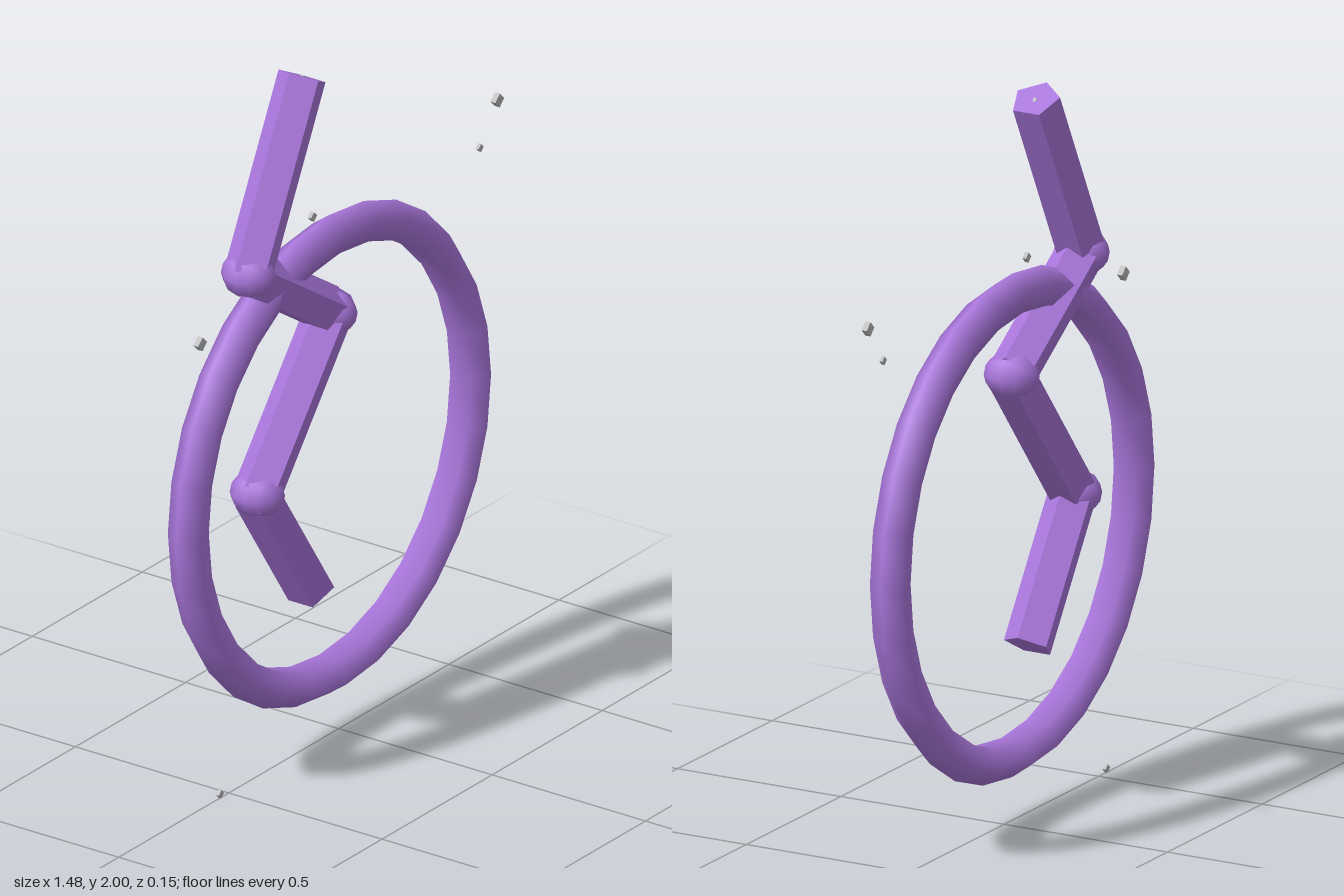
import * as THREE from 'three';

export function createModel() {
  const group = new THREE.Group();
  const purple = new THREE.MeshStandardMaterial({ color: 0xaa77dd });
  purple.name = 'purple';
  const gray = new THREE.MeshStandardMaterial({ color: 0xb8b8b8 });
  gray.name = 'gray';

  const add = (name, geometry, material, x, y) => {
    const mesh = new THREE.Mesh(geometry, material);
    mesh.name = name;
    mesh.position.set(x, y, 0);
    group.add(mesh);
    return mesh;
  };
  const faceted = (geometry) => {
    const g = geometry.toNonIndexed();
    g.computeVertexNormals();
    return g;
  };

  // Ring with a five-sided section
  add('ring', new THREE.TorusGeometry(0.641, 0.057, 5, 28), purple, -0.0425, 0.8175);

  // Zigzag of five-sided rods, each with one ridge turned upward
  const points = [[-0.165, 1.966], [-0.41, 1.48], [-0.04, 1.235], [-0.37, 0.825], [-0.128, 0.46]];
  for (let i = 0; i < points.length - 1; i++) {
    const [ax, ay] = points[i];
    const [bx, by] = points[i + 1];
    const length = Math.hypot(bx - ax, by - ay);
    const rod = new THREE.CylinderGeometry(0.068, 0.068, length, 5).rotateY(Math.PI / 2);
    let angle = Math.atan2(by - ay, bx - ax) - Math.PI / 2;
    if (Math.sin(angle) < 0) angle += Math.PI;
    add('zigzagRod', faceted(rod), purple, (ax + bx) / 2, (ay + by) / 2).rotation.z = angle;
  }

  // Rounded joints where the rods meet
  for (const [x, y] of points.slice(1, -1)) {
    const joint = new THREE.SphereGeometry(0.077, 8, 6).rotateX(Math.PI / 2).scale(0.86, 0.86, 1);
    add('joint', joint, purple, x, y);
  }

  // Small floating diamonds around the ring
  const diamonds = [
    [-0.63, 1.36, 0.02], [-0.12, 1.54, 0.014], [0.72, 1.565, 0.02],
    [0.64, 1.456, 0.012], [-0.54, 0.012, 0.012], [-0.165, 1.958, 0.012],
  ];
  for (const [x, y, r] of diamonds) {
    const diamond = new THREE.CylinderGeometry(r, r, r * 0.8, 4).rotateX(Math.PI / 2);
    add('diamond', faceted(diamond), gray, x, y);
  }
  return group;
}
